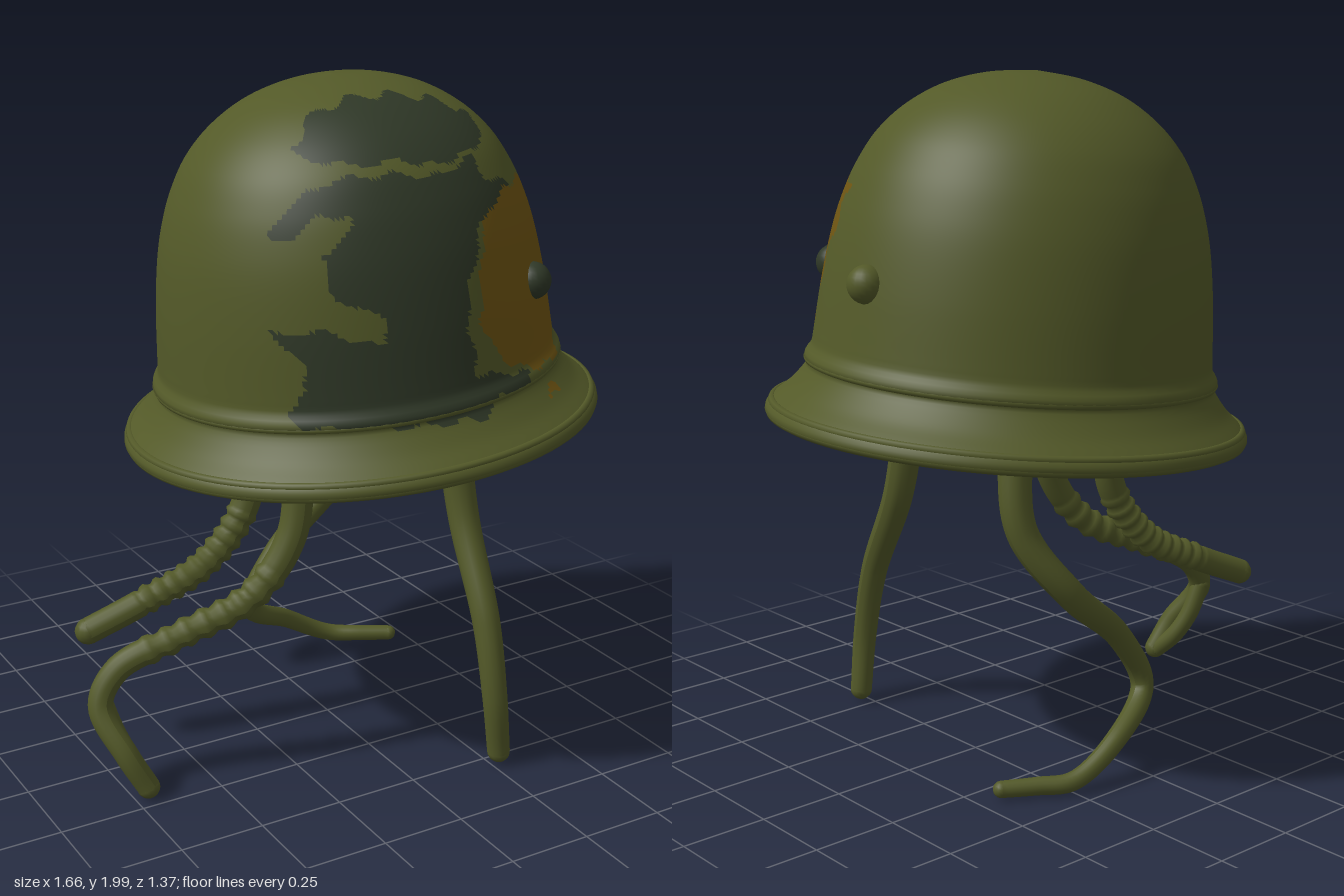
import * as THREE from 'three';

const mat = (name, color) => {
  const m = new THREE.MeshStandardMaterial({ color });
  m.name = name;
  return m;
};
const v2 = (list) => list.map(([x, y]) => new THREE.Vector2(x, y));

// Splits the triangles of an indexed geometry into material groups.
function paint(geo, count, pick) {
  const idx = geo.index.array, pos = geo.attributes.position, nor = geo.attributes.normal;
  const buckets = Array.from({ length: count }, () => []);
  for (let i = 0; i < idx.length; i += 3) {
    const [a, b, c] = [idx[i], idx[i + 1], idx[i + 2]];
    const mid = (get) => (pos[get](a) + pos[get](b) + pos[get](c)) / 3;
    buckets[pick(mid('getX'), mid('getY'), mid('getZ'), nor.getZ(a))].push(a, b, c);
  }
  geo.clearGroups();
  geo.setIndex(buckets.flat());
  let start = 0;
  buckets.forEach((b, i) => { geo.addGroup(start, b.length, i); start += b.length; });
  return geo;
}

function inside(poly, x, y) {
  let hit = false;
  for (let i = 0, j = poly.length - 1; i < poly.length; j = i++) {
    const a = poly[i], b = poly[j];
    if ((a.y > y) !== (b.y > y) && x < ((b.x - a.x) * (y - a.y)) / (b.y - a.y) + a.x) hit = !hit;
  }
  return hit;
}

export function createModel() {
  const olive = mat('olive', 0x535928);
  const dark = mat('darkGreen', 0x2f3827);
  const mustard = mat('mustard', 0x6e5412);
  const orange = mat('orange', 0xae7d26);
  const model = new THREE.Group();
  const add = (name, geo, material, parent = model) => {
    const m = new THREE.Mesh(geo, material);
    m.name = name;
    parent.add(m);
    return m;
  };
  // Leans the helmet parts and moves them to the brim centre.
  const lean = (geo) => geo.scale(1.04, 1, 1).rotateZ(0.084).rotateX(-0.03).translate(0.11, 0.98, 0.01);

  // Helmet shell: inner wall downwards, lip, then outer wall upwards
  const inner = new THREE.SplineCurve(v2([[0, 0.985], [0.24, 0.93], [0.39, 0.81], [0.475, 0.65],
    [0.52, 0.4], [0.54, 0.17], [0.585, 0.08], [0.66, 0.005]])).getSpacedPoints(24);
  const brim = new THREE.SplineCurve(v2([[0.67, -0.008], [0.686, 0.006], [0.684, 0.028], [0.665, 0.048],
    [0.625, 0.085], [0.59, 0.13], [0.577, 0.155]])).getSpacedPoints(16);
  const dome = new THREE.SplineCurve(v2([[0.588, 0.165], [0.584, 0.185], [0.57, 0.205], [0.566, 0.24],
    [0.552, 0.4], [0.532, 0.54], [0.508, 0.64], [0.475, 0.73], [0.425, 0.82], [0.35, 0.9],
    [0.25, 0.965], [0.13, 1.005], [0, 1.02]])).getSpacedPoints(84);
  inner[0].x = dome[84].x = 0;
  const shell = lean(new THREE.LatheGeometry([...inner, ...brim, ...dome], 240));

  // Camouflage outlines, as seen from the front
  const darkPatches = [
    v2([[-0.26, 1.84], [-0.17, 1.91], [-0.07, 1.955], [0.06, 1.965], [0.22, 1.94], [0.34, 1.89], [0.32, 1.84],
      [0.22, 1.82], [0.1, 1.8], [-0.02, 1.82], [-0.15, 1.81], [-0.22, 1.825]]),
    v2([[-0.19, 1.775], [-0.05, 1.79], [0.1, 1.775], [0.24, 1.81], [0.26, 1.75], [0.36, 1.72], [0.3, 1.68],
      [0.19, 1.63], [0.12, 1.45], [0.14, 1.25], [0.35, 1.21], [0.33, 1.17], [0.2, 1.18], [0.17, 1.13],
      [-0.31, 1.13], [-0.36, 1.16], [-0.3, 1.24], [-0.32, 1.31], [-0.37, 1.38], [-0.25, 1.39], [-0.11, 1.35],
      [-0.12, 1.42], [-0.23, 1.48], [-0.26, 1.58], [-0.17, 1.66], [-0.18, 1.69], [-0.26, 1.69],
      [-0.29, 1.63], [-0.35, 1.63], [-0.32, 1.7], [-0.24, 1.75]]),
  ];
  const mustardPatches = [
    v2([[0.24, 1.67], [0.33, 1.71], [0.45, 1.715], [0.53, 1.69], [0.56, 1.6], [0.57, 1.4], [0.57, 1.27],
      [0.53, 1.21], [0.4, 1.21], [0.3, 1.24], [0.21, 1.29], [0.165, 1.4], [0.18, 1.55]]),
    v2([[0.41, 1.12], [0.49, 1.13], [0.46, 1.15], [0.43, 1.15]]),
  ];
  paint(shell, 3, (x, y, z, nz) => {
    if (z < 0 || nz < 0) return 0;
    const px = x + 0.01 * Math.sin(y * 47), py = y + 0.008 * Math.sin(x * 53);
    if (mustardPatches.some((p) => inside(p, px, py))) return 2;
    return darkPatches.some((p) => inside(p, px, py)) ? 1 : 0;
  });
  add('helmet', shell, [olive, dark, mustard]);

  // Rolled rim and the seam above the brim
  [[0.672, 0.008, 0.014], [0.668, 0.038, 0.012], [0.578, 0.165, 0.011]].forEach(([r, h, t], i) =>
    add(['rimLower', 'rimUpper', 'brimSeam'][i],
      lean(new THREE.TorusGeometry(r, t, 8, 96).rotateX(Math.PI / 2).translate(0, h, 0)), olive));

  // Domed rivets
  const rivet = (name, material, x, y, z) =>
    add(name, new THREE.SphereGeometry(0.054, 20, 14), material).position.set(x, y, z);
  rivet('frontRivet', dark, 0.425, 1.44, 0.42);
  rivet('sideRivet', olive, 0.64, 1.445, -0.03);

  // Lumpy head hanging inside, with an orange face
  const headGeo = new THREE.SphereGeometry(1, 40, 32);
  const hp = headGeo.attributes.position;
  for (let i = 0; i < hp.count; i++) {
    const [x, y, z] = [hp.getX(i), hp.getY(i), hp.getZ(i)];
    const k = 1 + 0.06 * Math.sin(9 * x + 1) * Math.sin(8 * y) * Math.cos(7 * z);
    hp.setXYZ(i, 0.05 + 0.17 * x * k, 1.16 + 0.33 * y * k, 0.02 + 0.16 * z * k);
  }
  headGeo.computeVertexNormals();
  paint(headGeo, 2, (x, y, z) => (z > 0.05 ? 1 : 0));
  const head = new THREE.Group();
  head.name = 'head';
  model.add(head);
  add('skull', headGeo, [olive, orange], head);
  [[0.06, 0.855, 0.06, 0.045, orange], [0.1, 0.88, 0.1, 0.035, orange], [0.0, 0.9, 0.11, 0.035, orange],
    [0.13, 0.93, 0.1, 0.045, orange], [-0.04, 0.97, 0.1, 0.045, orange], [0.05, 0.96, 0.15, 0.04, orange],
    [0.16, 0.9, 0.0, 0.035, olive], [0.05, 0.85, 0.02, 0.035, olive]].forEach(([x, y, z, r, m]) =>
    add('faceBump', new THREE.SphereGeometry(r, 16, 12), m, head).position.set(x, y, z));

  // Tapered tube legs with rounded ends; wraps gives a corrugated stretch [from, to]
  function leg(name, pts, r0, r1, wraps) {
    const curve = new THREE.CatmullRomCurve3(pts.map((p) => new THREE.Vector3(...p)));
    const n = 110, sides = 14;
    const geo = new THREE.TubeGeometry(curve, n, 1, sides);
    const pos = geo.attributes.position, p = new THREE.Vector3();
    for (let i = 0; i <= n; i++) {
      const t = i / n, c = curve.getPointAt(t);
      let r = r0 + (r1 - r0) * t;
      if (wraps && t > wraps[0] && t < wraps[1]) r += 0.006 * Math.sin(i * 1.6);
      for (let j = 0; j <= sides; j++) {
        const k = i * (sides + 1) + j;
        p.fromBufferAttribute(pos, k).sub(c).multiplyScalar(r).add(c);
        pos.setXYZ(k, p.x, p.y, p.z);
      }
    }
    geo.computeVertexNormals();
    const g = new THREE.Group();
    g.name = name;
    model.add(g);
    add('limb', geo, olive, g);
    [[0, r0], [1, r1]].forEach(([t, r]) =>
      add('limbEnd', new THREE.SphereGeometry(r, 14, 10), olive, g).position.copy(curve.getPointAt(t)));
  }
  leg('frontLeftLeg', [[0.25, 1.3, 0.26], [0.255, 1, 0.29], [0.265, 0.73, 0.34], [0.255, 0.45, 0.485],
    [0.255, 0.23, 0.54], [0.275, 0.045, 0.54]], 0.056, 0.034);
  leg('backLeftLeg', [[0.3, 1.3, -0.24], [0.325, 1, -0.27], [0.335, 0.76, -0.31], [0.22, 0.57, -0.39],
    [0.02, 0.4, -0.375], [-0.07, 0.23, -0.38], [0.1, 0.12, -0.44], [0.25, 0.04, -0.43],
    [0.34, 0.035, -0.38], [0.43, 0.035, -0.33]], 0.055, 0.024);
  leg('frontRightLeg', [[-0.18, 1.3, 0.18], [-0.21, 0.98, 0.2], [-0.25, 0.73, 0.225], [-0.37, 0.56, 0.2],
    [-0.57, 0.46, 0.14], [-0.74, 0.37, 0.08], [-0.8, 0.27, 0.085], [-0.76, 0.14, 0.17],
    [-0.71, 0.04, 0.2]], 0.05, 0.034, [0.42, 0.7]);
  leg('frontRightFootLoop', [[-0.79, 0.28, 0.07], [-0.76, 0.18, 0.09], [-0.73, 0.1, 0.13],
    [-0.71, 0.04, 0.19]], 0.03, 0.028);
  leg('backRightLeg', [[-0.18, 1.3, -0.06], [-0.21, 0.98, -0.07], [-0.25, 0.73, -0.06], [-0.38, 0.56, -0.08],
    [-0.57, 0.46, -0.12], [-0.73, 0.39, -0.155]], 0.047, 0.04, [0.5, 0.85]);

  return model;
}
